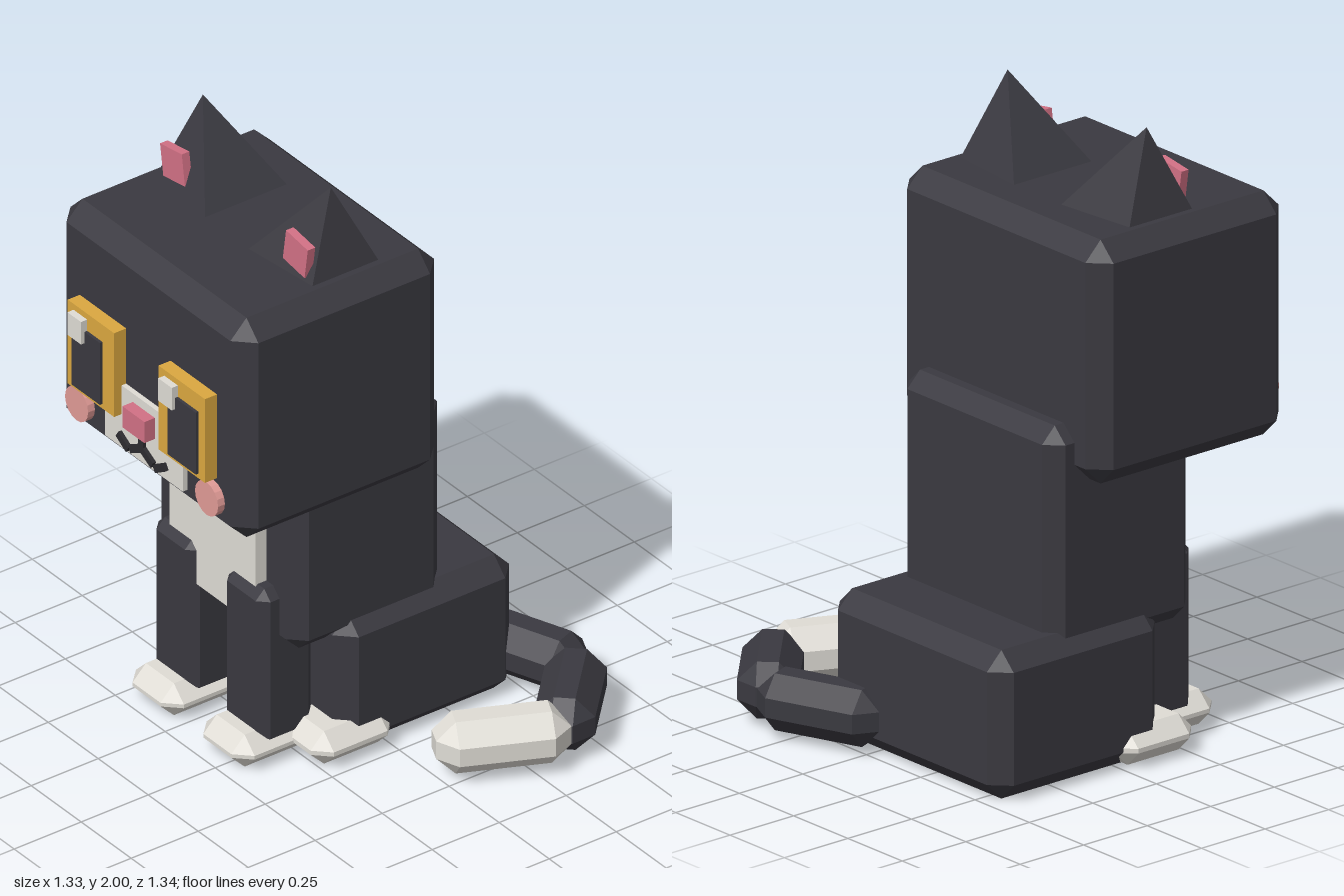
import * as THREE from 'three';
import { ConvexGeometry } from 'three/addons/geometries/ConvexGeometry.js';

const CX = -0.2; // the cat's own mid-plane; the tail reaches out to +x

const mat = (name, color) => {
  const m = new THREE.MeshStandardMaterial({ color, flatShading: true });
  m.name = name;
  return m;
};

// Box with every edge cut off at 45 degrees
function chamferBox(w, h, d, c) {
  const pts = [];
  for (const x of [-1, 1]) for (const y of [-1, 1]) for (const z of [-1, 1]) {
    const a = w / 2, b = h / 2, e = d / 2;
    pts.push(
      new THREE.Vector3(x * a, y * (b - c), z * (e - c)),
      new THREE.Vector3(x * (a - c), y * b, z * (e - c)),
      new THREE.Vector3(x * (a - c), y * (b - c), z * e));
  }
  return new ConvexGeometry(pts);
}

export function createModel() {
  const cat = new THREE.Group();
  cat.name = 'cat';
  const fur = mat('blackFur', 0x3a3940);
  const white = mat('whiteFur', 0xdfdcd5);
  const gold = mat('goldEye', 0xdba840);
  const pink = mat('pink', 0xd27185);
  const blush = mat('blush', 0xe09a96);
  const dark = mat('mouthBlack', 0x2c2b30);

  const add = (name, geometry, material, x, y, z) => {
    const mesh = new THREE.Mesh(geometry, material);
    mesh.name = name;
    mesh.position.set(x, y, z);
    cat.add(mesh);
    return mesh;
  };
  // Part given by its extents; c is the chamfer, 0 for a plain box
  const block = (name, material, [x0, x1], [y0, y1], [z0, z1], c = 0) => {
    const s = [x1 - x0, y1 - y0, z1 - z0];
    const g = c ? chamferBox(...s, c) : new THREE.BoxGeometry(...s);
    return add(name, g, material, (x0 + x1) / 2, (y0 + y1) / 2, (z0 + z1) / 2);
  };
  const around = (x, halfWidth) => [x - halfWidth, x + halfWidth];

  // Trunk and head
  block('head', fur, around(CX, 0.47), [0.95, 1.73], [-0.16, 0.6], 0.06);
  block('body', fur, around(CX, 0.36), [0.4, 1.13], [-0.245, 0.32], 0.05);
  block('haunches', fur, around(CX, 0.4), [0.005, 0.48], [-0.49, 0.17], 0.057);
  block('chestPatch', white, around(CX, 0.215), [0.46, 0.98], [0.31, 0.36]);

  // Face
  block('muzzle', white, around(CX, 0.195), [1.03, 1.25], [0.59, 0.617]);
  block('nose', pink, around(CX, 0.055), [1.145, 1.22], [0.6, 0.656]);
  block('mouthLine', dark, around(CX, 0.012), [1.075, 1.15], [0.6, 0.63]);

  for (const s of [-1, 1]) {
    const side = s < 0 ? 'right' : 'left';

    // Legs and paws
    block(side + 'FrontLeg', fur, around(CX + s * 0.177, 0.103), [0.06, 0.61], [0.18, 0.385], 0.032);
    block(side + 'FrontPaw', white, around(CX + s * 0.177, 0.12), [0.005, 0.118], [0.17, 0.475], 0.05);
    block(side + 'RearPaw', white, around(CX + s * 0.312, 0.12), [0.01, 0.125], [-0.02, 0.28], 0.05);

    // Ear: pyramid leaning outward, with a pink plate on its front
    const ear = new ConvexGeometry([
      [0.105, 1.725, 0.0], [0.105, 1.725, 0.31], [0.39, 1.725, 0.03],
      [0.39, 1.725, 0.28], [0.32, 2.0, 0.158],
    ].map(([x, y, z]) => new THREE.Vector3(s * x, y, z)));
    add(side + 'Ear', ear, fur, CX, 0, 0);
    add(side + 'InnerEar', new THREE.BoxGeometry(0.11, 0.108, 0.028), pink, CX + s * 0.307, 1.803, 0.267)
      .rotation.z = -s * 0.15;

    // Eye: gold block, dark pupil, highlight on the same side of both eyes
    const ex = CX + s * 0.227;
    block(side + 'Eye', gold, around(ex, 0.116), [1.148, 1.446], [0.59, 0.645]);
    block(side + 'Pupil', fur, around(CX + s * 0.24, 0.071), [1.165, 1.385], [0.63, 0.655]);
    block(side + 'EyeHighlight', white, around(ex - 0.053, 0.034), [1.345, 1.425], [0.63, 0.668]);

    // Cheek disc
    add(side + 'Cheek', new THREE.CylinderGeometry(0.058, 0.058, 0.035, 16), blush, CX + s * 0.325, 1.076, 0.608)
      .rotation.x = Math.PI / 2;

    // Two strokes for each half of the mouth
    for (const [x, y, tilt] of [[0.03, 1.07, -0.5], [0.092, 1.064, 0.55]]) {
      add(side + 'MouthStroke', new THREE.BoxGeometry(0.06, 0.025, 0.03), dark, CX + s * x, y, 0.615)
        .rotation.z = s * tilt;
    }
  }

  // Tail: three chamfered bars lying near the floor, curling forward
  const tail = [
    ['tailBase', fur, -0.035, -0.458, 0.355, -0.605],
    ['tailMiddle', fur, 0.33, -0.61, 0.615, -0.335],
    ['tailTip', white, 0.605, -0.37, 0.43, 0.005],
  ];
  for (const [name, material, x0, z0, x1, z1] of tail) {
    const dx = x1 - x0, dz = z1 - z0;
    add(name, chamferBox(0.186, 0.182, Math.hypot(dx, dz), 0.06), material, (x0 + x1) / 2, 0.12, (z0 + z1) / 2)
      .rotation.y = Math.atan2(dx, dz);
  }
  return cat;
}
